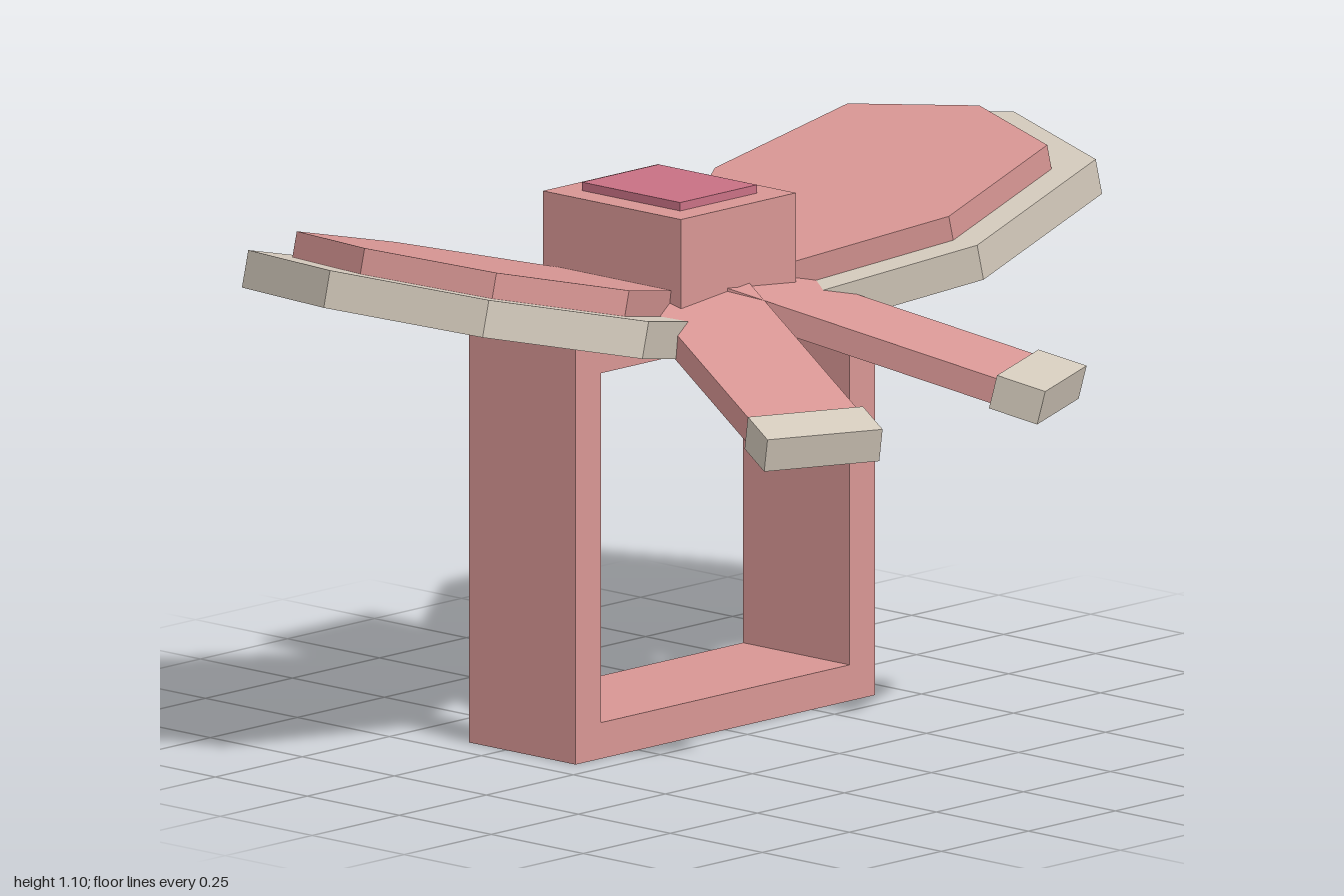
import * as THREE from 'three';

const pink = new THREE.MeshStandardMaterial({ color: 0xd89694 });
pink.name = 'pink';
const beige = new THREE.MeshStandardMaterial({ color: 0xd4cabc });
beige.name = 'beige';
const rose = new THREE.MeshStandardMaterial({ color: 0xc87084 });
rose.name = 'rose';

const CENTRE_Z = -0.205;
const TILT = Math.atan(0.25);

function add(parent, name, geometry, material, x = 0, y = 0, z = 0) {
  const mesh = new THREE.Mesh(geometry, material);
  mesh.name = name;
  mesh.position.set(x, y, z);
  parent.add(mesh);
  return mesh;
}

// Seven-sided loop plate, lying flat; scaled about its widest point
function loopPlate(scale, thickness) {
  const mid = 0.505;
  const half = [[0.103, 0.165], [0.505, 0.383], [0.917, 0.327]];
  const outline = [
    ...half.map(([u, w]) => [u, -w]),
    [1.031, 0],
    ...half.slice().reverse(),
  ].map(([u, w]) => new THREE.Vector2(mid + (u - mid) * scale, w * scale));
  const geometry = new THREE.ExtrudeGeometry(new THREE.Shape(outline), {
    depth: thickness, bevelEnabled: false,
  });
  return geometry.rotateX(-Math.PI / 2);
}

export function createModel() {
  const model = new THREE.Group();
  model.name = 'bowRing';

  // Square band with a square opening
  const band = new THREE.Shape([[-0.43, 0], [0.43, 0], [0.43, 0.85], [-0.43, 0.85]]
    .map(([x, y]) => new THREE.Vector2(x, y)));
  band.holes.push(new THREE.Path([[-0.357, 0.073], [-0.357, 0.78], [0.357, 0.78], [0.357, 0.073]]
    .map(([x, y]) => new THREE.Vector2(x, y))));
  add(model, 'ringBand', new THREE.ExtrudeGeometry(band, { depth: 0.29, bevelEnabled: false }),
    pink, 0, 0, CENTRE_Z - 0.145);

  // Knot and its inset stone
  add(model, 'knot', new THREE.BoxGeometry(0.33, 0.217, 0.375), pink, 0, 0.9565, -0.212);
  add(model, 'stone', new THREE.BoxGeometry(0.22, 0.03, 0.267), rose, 0, 1.067, -0.212);

  for (const side of [1, -1]) {
    const label = side > 0 ? 'left' : 'right';

    // Raised bow loop: beige rim plate with a pink plate on top
    const turn = new THREE.Group();
    turn.name = label + 'Loop';
    turn.position.set(0, 0.745, CENTRE_Z);
    turn.rotation.set(0, side > 0 ? 0 : Math.PI, TILT);
    add(turn, label + 'LoopRim', loopPlate(1, 0.075), beige);
    add(turn, label + 'LoopFace', loopPlate(0.83, 0.052), pink, 0, 0.075, 0);
    model.add(turn);

    // Ribbon tail sloping forwards and outwards, with a beige tip
    const tail = new THREE.Group();
    tail.name = label + 'Tail';
    tail.position.set(side * 0.015, 0.914, CENTRE_Z);
    tail.rotation.set(TILT, side * THREE.MathUtils.degToRad(24), 0, 'YXZ');
    add(tail, label + 'TailRibbon', new THREE.BoxGeometry(0.232, 0.052, 0.69), pink, 0, 0, 0.39);
    add(tail, label + 'TailTip', new THREE.BoxGeometry(0.246, 0.07, 0.104), beige, 0, 0, 0.778);
    model.add(tail);
  }

  return model;
}
